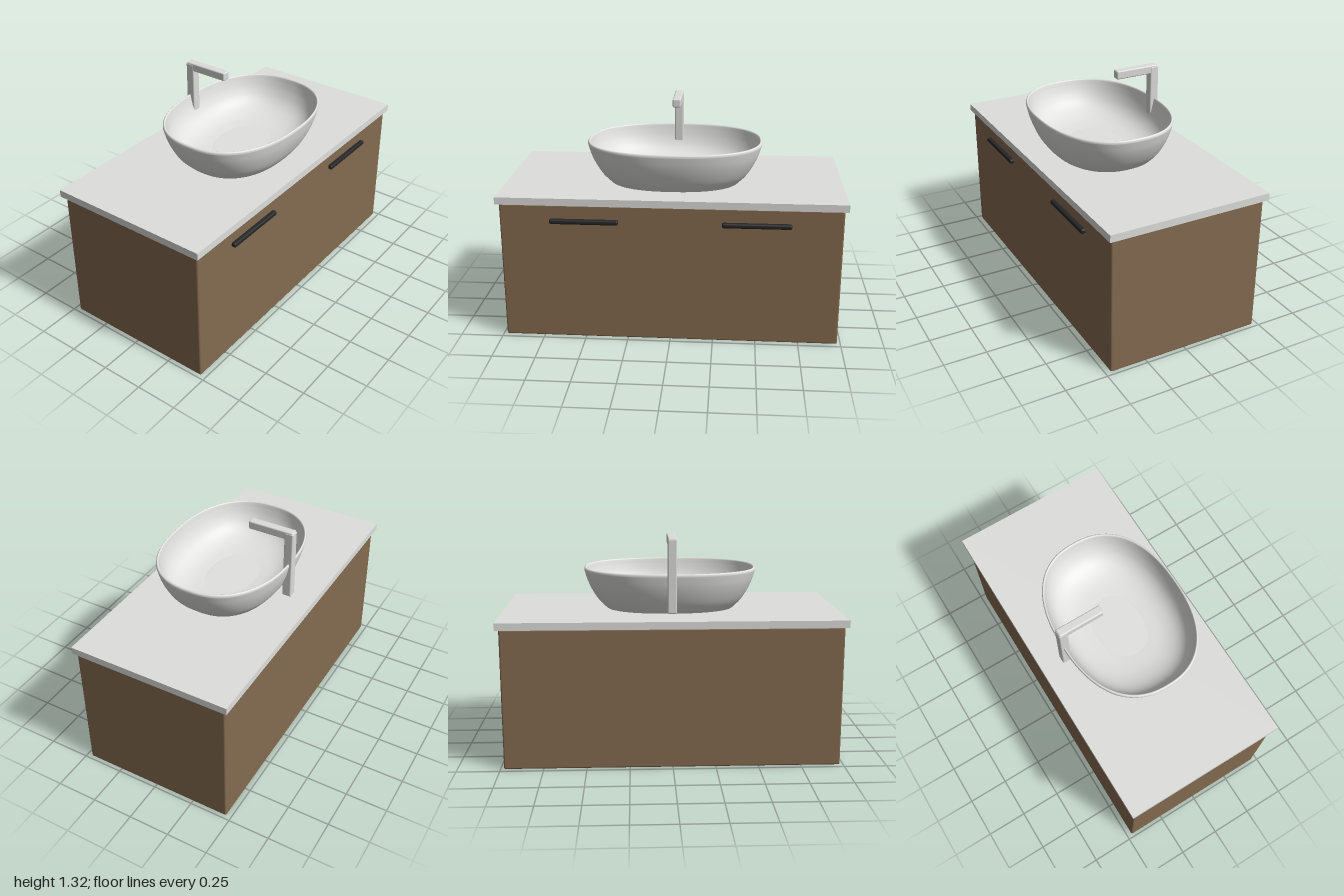
import * as THREE from 'three';
import { mergeVertices } from 'three/addons/utils/BufferGeometryUtils.js';
import { RoundedBoxGeometry } from 'three/addons/geometries/RoundedBoxGeometry.js';

const material = (name, color) => {
  const m = new THREE.MeshStandardMaterial({ color });
  m.name = name;
  return m;
};

// Box given by its limits on each axis, optionally with rounded edges
function block(name, mat, [x0, x1], [y0, y1], [z0, z1], radius = 0) {
  const size = [x1 - x0, y1 - y0, z1 - z0];
  const geo = radius
    ? new RoundedBoxGeometry(...size, 3, radius)
    : new THREE.BoxGeometry(...size);
  const mesh = new THREE.Mesh(geo, mat);
  mesh.name = name;
  mesh.position.set((x0 + x1) / 2, (y0 + y1) / 2, (z0 + z1) / 2);
  return mesh;
}

// Revolve a profile, then stretch the circle into a soft superellipse
function ovalLathe(name, mat, points, rx, rz, power = 2.35) {
  let geo = new THREE.LatheGeometry(points, 96);
  geo.deleteAttribute('uv');
  geo.deleteAttribute('normal');
  const p = geo.attributes.position;
  for (let i = 0; i < p.count; i++) {
    const x = p.getX(i), z = p.getZ(i), r = Math.hypot(x, z);
    if (r < 1e-6) continue;
    const c = Math.abs(x / r), s = Math.abs(z / r);
    const k = 1 / Math.pow(c ** power + s ** power, 1 / power);
    p.setX(i, x * k * rx);
    p.setZ(i, z * k * rz);
  }
  geo = mergeVertices(geo, 1e-5);
  geo.computeVertexNormals();
  const mesh = new THREE.Mesh(geo, mat);
  mesh.name = name;
  return mesh;
}

const curve = (pts, n) =>
  new THREE.SplineCurve(pts.map(([x, y]) => new THREE.Vector2(x, y))).getPoints(n);

export function createModel() {
  const wood = material('brown wood', 0x846b50);
  const stone = material('pale stone', 0xdededc);
  const ceramic = material('white ceramic', 0xe2e2e0);
  const metal = material('light metal', 0xdcdcda);
  const black = material('black metal', 0x262626);

  const model = new THREE.Group();
  model.name = 'washbasinCabinet';

  // Cabinet and countertop
  model.add(block('cabinet', wood, [-0.98, 0.98], [0, 0.825], [-0.47, 0.47], 0.01));
  model.add(block('countertop', stone, [-1, 1], [0.825, 0.868], [-0.492, 0.488]));

  // Bar handles
  for (const side of [-1, 1]) {
    const handle = block('handle', black, [-0.197, 0.197], [0.715, 0.743], [0.462, 0.495], 0.01);
    handle.position.x = side * 0.492;
    model.add(handle);
  }

  // Basin: outer wall, rounded lip and inner bowl in one profile
  const basin = new THREE.Group();
  basin.name = 'basin';
  basin.position.z = 0.036;
  const outer = curve([[0.745, 0.868], [0.84, 0.918], [0.91, 0.975],
    [0.96, 1.03], [0.988, 1.075], [1, 1.098]], 20);
  const lip = curve([[0.998, 1.106], [0.988, 1.112], [0.976, 1.112], [0.966, 1.105]], 6);
  const inner = curve([[0.958, 1.085], [0.92, 1.03], [0.85, 0.975],
    [0.74, 0.935], [0.58, 0.91], [0.385, 0.9]], 22);
  basin.add(ovalLathe('basinShell', ceramic, [...outer, ...lip, ...inner], 0.52, 0.384));

  // Flat floor and underside of the basin
  const disc = (y, r, up) => up
    ? [new THREE.Vector2(r, y), new THREE.Vector2(0, y)]
    : [new THREE.Vector2(0, y), new THREE.Vector2(r, y)];
  basin.add(ovalLathe('basinFloor', ceramic, disc(0.9, 0.385, true), 0.52, 0.37));
  basin.add(ovalLathe('basinUnderside', ceramic, disc(0.869, 0.745, false), 0.52, 0.384));
  model.add(basin);

  // Tap: square post with a level spout
  const tap = new THREE.Group();
  tap.name = 'tap';
  tap.add(block('tapPost', metal, [-0.027, 0.027], [0.887, 1.316], [-0.364, -0.309], 0.008));
  tap.add(block('tapSpout', metal, [-0.025, 0.025], [1.272, 1.323], [-0.36, -0.082], 0.008));
  model.add(tap);

  return model;
}
